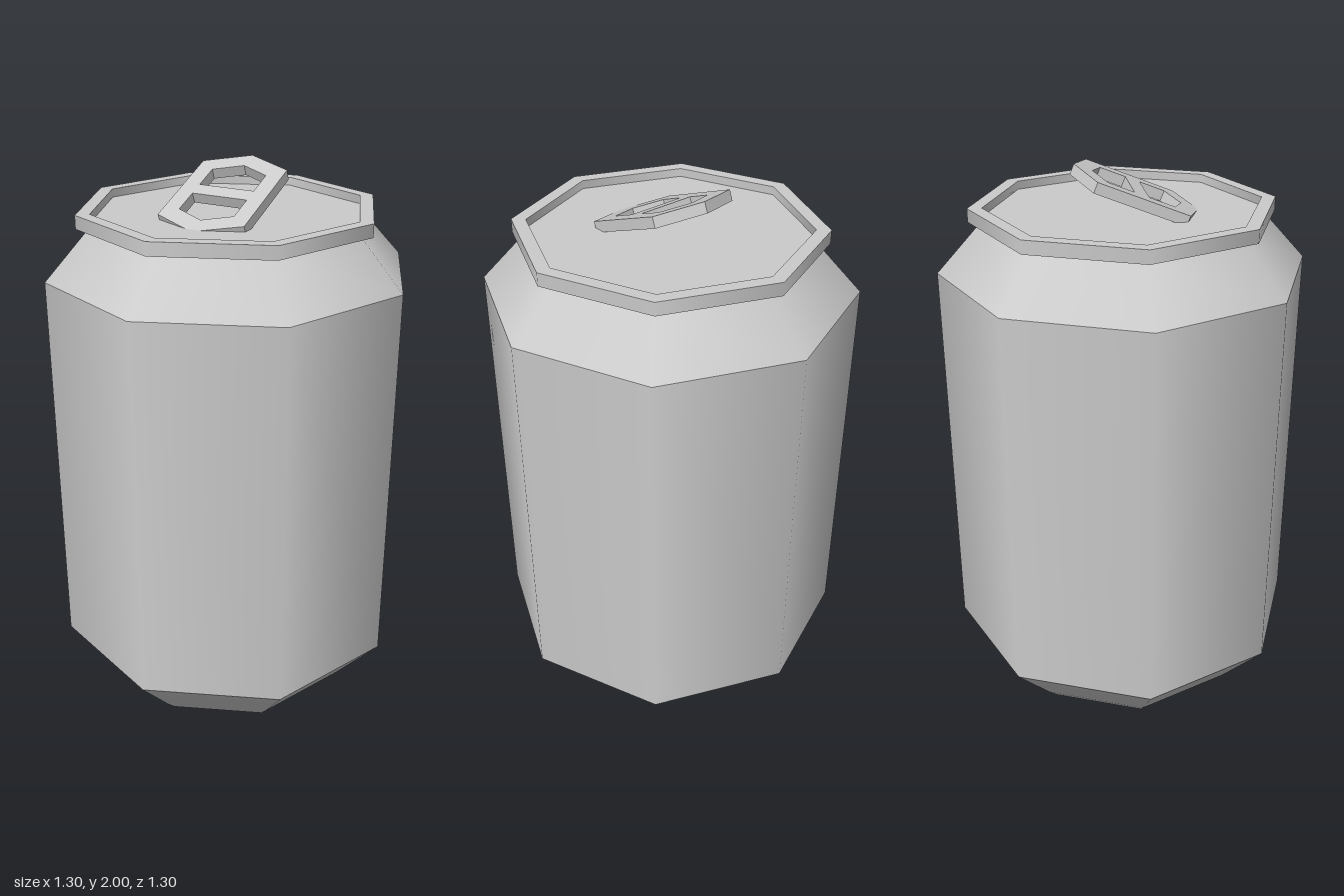
import * as THREE from 'three';
import { mergeGeometries } from 'three/addons/utils/BufferGeometryUtils.js';

const SIDES = 8;
const material = new THREE.MeshStandardMaterial({ color: 0xcccccc });

// Eight-sided turned part: smooth around, with a crease between the given bands
function turned(name, bands) {
  const lathes = bands.map((band) =>
    new THREE.LatheGeometry(band.map(([r, y]) => new THREE.Vector2(r, y)), SIDES));
  const mesh = new THREE.Mesh(mergeGeometries(lathes), material);
  mesh.name = name;
  return mesh;
}

const outline = (points) => points.map(([x, y]) => new THREE.Vector2(x, y));

// Pull tab: a long hexagonal plate with two pointed holes, tilted up at the back
function pullTab() {
  const shape = new THREE.Shape(outline([
    [-0.165, -0.167], [0, -0.232], [0.165, -0.167],
    [0.165, 0.167], [0, 0.232], [-0.165, 0.167],
  ]));
  for (const s of [1, -1]) {
    shape.holes.push(new THREE.Path(outline([
      [-0.105, s * 0.027], [0.105, s * 0.027], [0.105, s * 0.122],
      [0, s * 0.165], [-0.105, s * 0.122],
    ])));
  }
  const thickness = 0.038;
  const geometry = new THREE.ExtrudeGeometry(shape, { depth: thickness, bevelEnabled: false });
  geometry.translate(0, 0, -thickness);
  const mesh = new THREE.Mesh(geometry, material);
  mesh.name = 'pullTab';
  mesh.rotation.x = -Math.PI / 2 + Math.atan(0.4);
  mesh.position.set(0, 1.914, 0.045);
  return mesh;
}

export function createModel() {
  const group = new THREE.Group();
  group.name = 'drinkCan';
  group.add(
    // Recessed underside and the narrow foot ring
    turned('base', [
      [[0, 0.065], [0.3, 0.065]],
      [[0.3, 0.065], [0.35, 0]],
      [[0.35, 0], [0.44, 0]],
    ]),
    // Lower taper, straight wall and shoulder
    turned('body', [
      [[0.44, 0], [0.485, 0.045], [0.65, 0.23]],
      [[0.65, 0.23], [0.65, 1.64]],
      [[0.65, 1.64], [0.49, 1.815]],
    ]),
    // Overhanging rim with a sunken top panel
    turned('lid', [
      [[0.47, 1.815], [0.535, 1.815]],
      [[0.535, 1.815], [0.535, 1.862]],
      [[0.535, 1.862], [0.485, 1.862]],
      [[0.485, 1.862], [0.485, 1.832]],
      [[0.485, 1.832], [0, 1.832]],
    ]),
    pullTab(),
  );
  return group;
}
